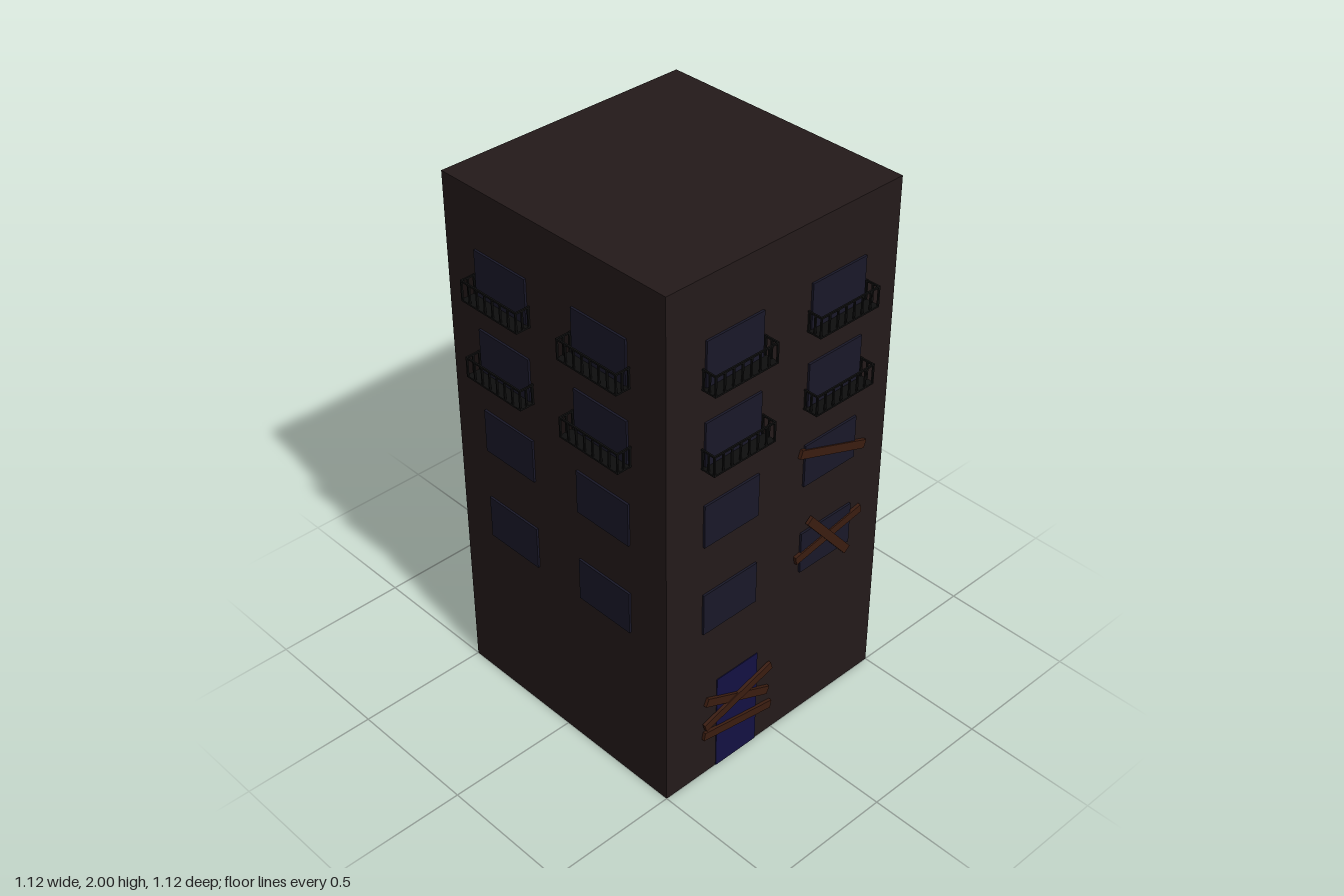
import * as THREE from 'three';

const mat = (color) => new THREE.MeshStandardMaterial({ color });

export function createModel() {
  const wallMat = mat(0x241a1a), glassMat = mat(0x191828), doorMat = mat(0x131142);
  const woodMat = mat(0x3a1c10), ironMat = mat(0x0e0e0e);

  function box(parent, name, material, w, h, d, x, y, z) {
    const mesh = new THREE.Mesh(new THREE.BoxGeometry(w, h, d), material);
    mesh.name = name;
    mesh.position.set(x, y, z);
    parent.add(mesh);
    return mesh;
  }

  // Balcony with floor, top rail and bars; origin at the wall, bottom centre
  function balcony(x, y) {
    const g = new THREE.Group();
    g.name = 'balcony';
    g.position.set(x, y, 0.5);
    const W = 0.266, H = 0.077, D = 0.058, t = 0.006;
    box(g, 'balconyFloor', ironMat, W, t, D, 0, t / 2, D / 2);
    box(g, 'frontRail', ironMat, W, t, t, 0, H - t / 2, D - t / 2);
    const edge = (W - t) / 2;
    for (let i = 0; i < 8; i++) {
      box(g, 'frontBar', ironMat, t, H, t, -edge + (i * 2 * edge) / 7, H / 2, D - t / 2);
    }
    for (const s of [-1, 1]) {
      box(g, 'sideRail', ironMat, t, t, D, s * edge, H - t / 2, D / 2);
      for (const z of [0.005, 0.03]) box(g, 'sideBar', ironMat, t, H, t, s * edge, H / 2, z);
    }
    return g;
  }

  const building = new THREE.Group();
  building.name = 'apartmentBuilding';
  box(building, 'walls', wallMat, 1, 2, 1, 0, 1, 0);

  // Each facade is laid out facing +z, then turned into place.
  // Boards: [x, y, length, angle in degrees, layer]
  const facades = [
    { name: 'frontFacade', turn: 0, columns: [-0.222, 0.228], floors: [1.32, 1.612],
      boards: [[0.24, 1.095, 0.33, -20, 0], [0.24, 0.738, 0.32, 10, 0], [0.237, 0.738, 0.305, -50, 1],
        [-0.178, 0.268, 0.32, -24, 0], [-0.178, 0.27, 0.325, 16, 1], [-0.175, 0.155, 0.325, -10, 0]] },
    { name: 'rightFacade', turn: 1, columns: [-0.22, 0.232], floors: [1.325, 1.624],
      boards: [[-0.207, 1.073, 0.32, -20, 0], [0.225, 0.725, 0.325, 18, 0]] },
    { name: 'backFacade', turn: 2, columns: [-0.23, 0.222], floors: [1.325, 1.622],
      boards: [[0.218, 1.09, 0.33, -20, 0]] },
    { name: 'leftFacade', turn: 3, columns: [-0.235, 0.216], floors: [1.323, 1.612], boards: [] },
  ];

  for (const f of facades) {
    const side = new THREE.Group();
    side.name = f.name;
    side.rotation.y = (f.turn * Math.PI) / 2;
    for (const x of f.columns) {
      for (const y of [0.728, 1.09, 1.406, 1.7]) {
        box(side, 'window', glassMat, 0.24, 0.165, 0.016, x, y, 0.5);
      }
      for (const y of f.floors) side.add(balcony(x, y));
    }
    // Planks nailed over the openings
    for (const [x, y, length, angle, layer] of f.boards) {
      const plank = box(side, 'plank', woodMat, length, 0.032, 0.012, x, y, 0.507 + layer * 0.004);
      plank.rotation.z = THREE.MathUtils.degToRad(angle);
    }
    building.add(side);
  }

  // Entrance
  box(building, 'door', doorMat, 0.19, 0.398, 0.006, -0.175, 0.199, 0.5);
  return building;
}
